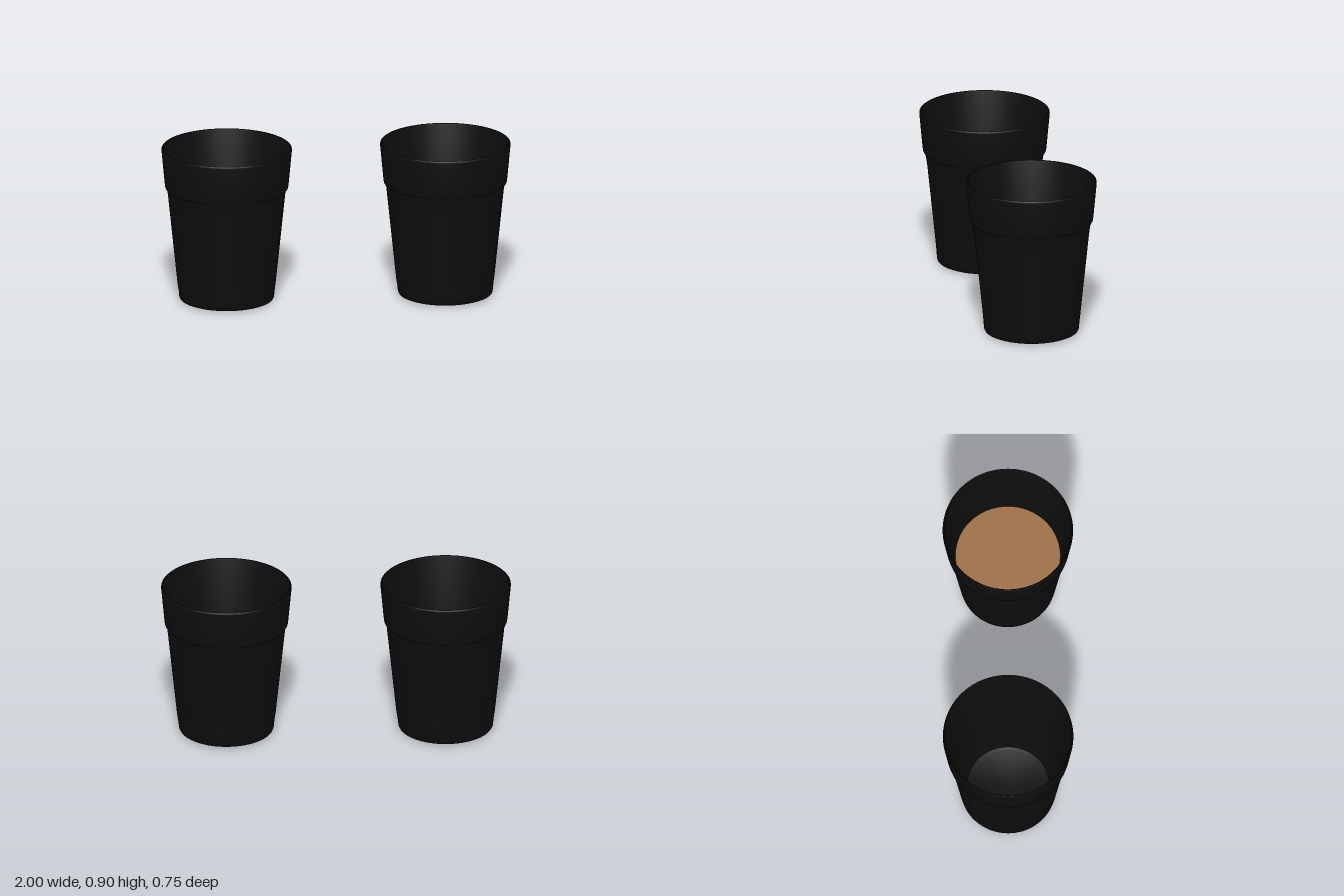
import * as THREE from 'three';
import { toCreasedNormals } from 'three/addons/utils/BufferGeometryUtils.js';

const FLUTES = 16;
const SEGMENTS = 128;

const glassMaterial = new THREE.MeshStandardMaterial({ color: 0x0d0d0d });
const drinkMaterial = new THREE.MeshStandardMaterial({ color: 0x9c7048 });

const toPoints = (pairs) => pairs.map(([r, y]) => new THREE.Vector2(r, y));

// Closed tumbler wall: base, fluted side, raised rim band, inner wall, inner floor
function glassGeometry() {
  const side = [];
  for (let i = 0; i <= 14; i++) {
    const t = i / 14;
    side.push([0.282 + 0.058 * t, 0.1 + 0.56 * t]);
  }
  const profile = [
    [0, 0], [0.11, 0.001], [0.2, 0.004], [0.258, 0.007], [0.267, 0.011], [0.271, 0.02],
    [0.275, 0.055], ...side,
    [0.341, 0.668], [0.349, 0.67], [0.352, 0.676], [0.354, 0.69],
    [0.373, 0.893], [0.372, 0.901], [0.368, 0.905], [0.363, 0.904], [0.36, 0.895],
    [0.3, 0.47], [0.245, 0.08], [0.238, 0.062], [0.22, 0.055], [0, 0.053],
  ];
  const geometry = new THREE.LatheGeometry(toPoints(profile), SEGMENTS);

  // Press shallow flutes into the outer side, fading out at both ends
  const pos = geometry.attributes.position;
  for (let i = 0; i < pos.count; i++) {
    const [r, y] = profile[i % profile.length];
    const outside = i % profile.length < 7 + side.length;
    if (!outside || y < 0.03) continue;
    const fade = THREE.MathUtils.smoothstep(y, 0.03, 0.12)
      * (1 - THREE.MathUtils.smoothstep(y, 0.6, 0.66));
    const angle = Math.atan2(pos.getX(i), pos.getZ(i));
    const dip = 0.005 * fade * Math.abs(Math.sin(angle * FLUTES / 2));
    const scale = (r - dip) / r;
    pos.setX(i, pos.getX(i) * scale);
    pos.setZ(i, pos.getZ(i) * scale);
  }
  return toCreasedNormals(geometry, Math.PI / 4);
}

// Drink filling the lower half of a glass
function drinkGeometry() {
  const profile = [[0, 0.054], [0.22, 0.056], [0.238, 0.063], [0.245, 0.08], [0.3, 0.47], [0, 0.47]];
  return toCreasedNormals(new THREE.LatheGeometry(toPoints(profile), SEGMENTS), Math.PI / 6);
}

export function createModel() {
  const model = new THREE.Group();
  model.name = 'pairOfGlasses';

  const geometry = glassGeometry();
  for (const [name, x] of [['rightGlass', -0.627], ['leftGlass', 0.627]]) {
    const glass = new THREE.Mesh(geometry, glassMaterial);
    glass.name = name;
    glass.position.x = x;
    model.add(glass);
  }

  const drink = new THREE.Mesh(drinkGeometry(), drinkMaterial);
  drink.name = 'drink';
  drink.position.x = 0.627;
  model.add(drink);

  return model;
}
